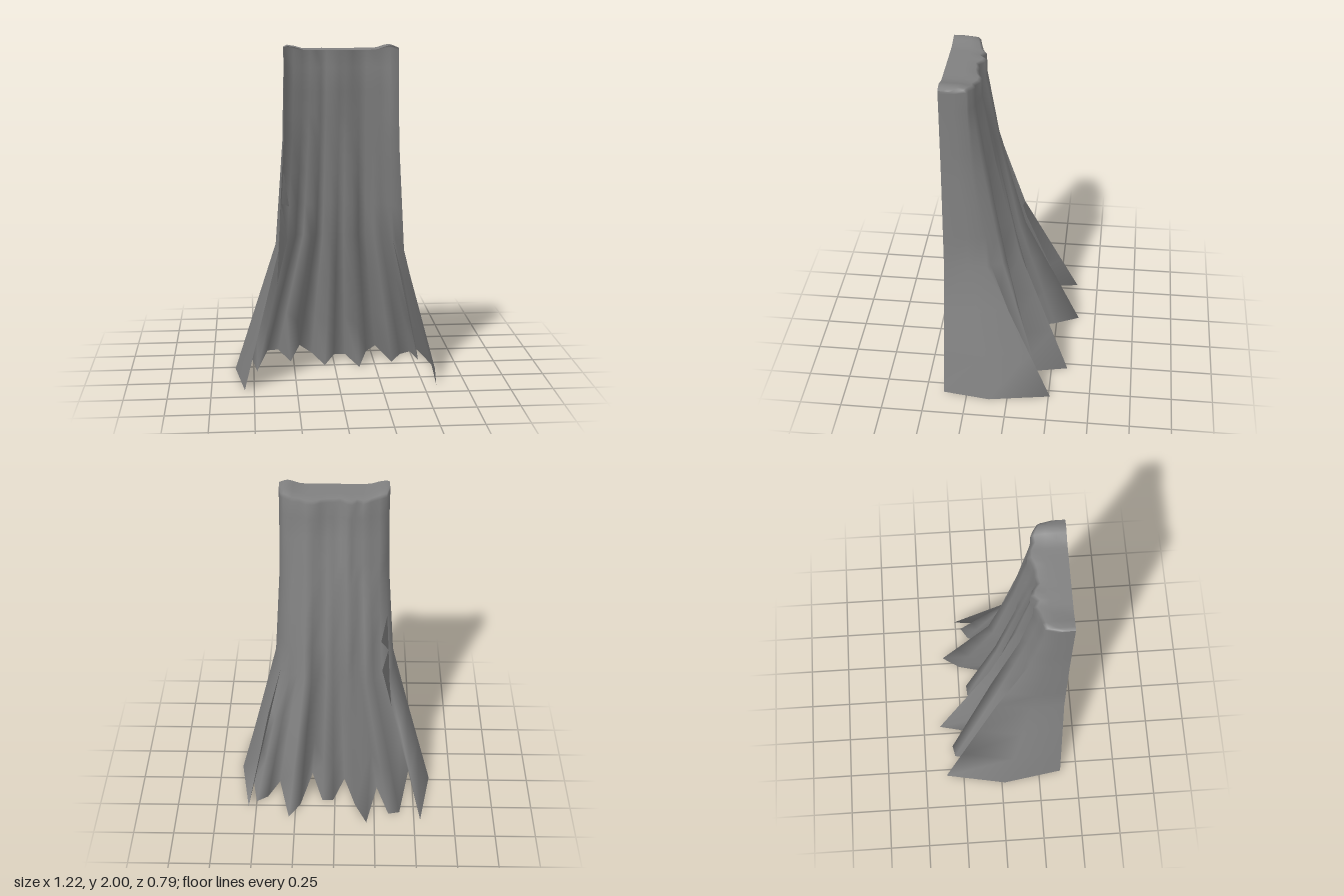
import * as THREE from 'three';

// Each column of the cloth: x at [hem, top], then z at [hem, knee, waist, top].
// Columns run from the right front edge, round the back, to the left front edge.
const FRONT = 0.393;
const columns = [
  [-0.555, -0.31, FRONT, FRONT, FRONT, FRONT],
  [-0.612, -0.31, 0.02, 0.19, 0.27, 0.30],
  [-0.54, -0.29, -0.365, -0.02, 0.17, 0.235],
  [-0.48, -0.25, 0.08, 0.10, 0.16, 0.225],
  [-0.41, -0.20, -0.30, 0.00, 0.14, 0.21],
  [-0.34, -0.155, -0.315, -0.04, 0.12, 0.185],
  [-0.27, -0.12, -0.08, 0.08, 0.14, 0.205],
  [-0.20, -0.09, -0.393, -0.045, 0.11, 0.175],
  [-0.13, -0.06, -0.24, -0.01, 0.11, 0.185],
  [-0.06, -0.025, 0.00, 0.07, 0.13, 0.215],
  [0.01, 0.015, -0.195, 0.00, 0.12, 0.205],
  [0.08, 0.05, -0.20, 0.00, 0.12, 0.205],
  [0.15, 0.09, 0.05, 0.08, 0.13, 0.195],
  [0.22, 0.13, -0.24, -0.01, 0.11, 0.175],
  [0.29, 0.17, -0.35, -0.035, 0.105, 0.18],
  [0.36, 0.21, -0.03, 0.06, 0.14, 0.205],
  [0.43, 0.25, -0.17, 0.03, 0.14, 0.20],
  [0.50, 0.28, -0.215, 0.05, 0.16, 0.215],
  [0.53, 0.30, -0.05, 0.12, 0.20, 0.23],
  [0.55, 0.315, -0.26, 0.14, 0.22, 0.24],
  [0.612, 0.33, 0.11, 0.24, 0.29, 0.31],
  [0.575, 0.33, FRONT, FRONT, FRONT, FRONT],
];

// Heights of the hem, knee, waist and top, and how far each flares sideways
const heights = [0, 0.83, 1.45, 1.86];
const flares = [1, 0.17, 0.03, 0];
const STEPS = 3;

// Shoulder height: a soft bump near each side, fading towards the back
const shoulder = (x, z) => 1.975 + 0.025
  * Math.exp(-(((Math.abs(x) - 0.28) / 0.05) ** 2))
  * THREE.MathUtils.smoothstep(z, 0.16, 0.27);

export function createModel() {
  const group = new THREE.Group();
  const cloth = new THREE.MeshStandardMaterial({ color: 0x808080, side: THREE.DoubleSide });
  cloth.name = 'grey cloth';
  const { lerp } = THREE.MathUtils;

  // Pleated drape: straight runs between the four heights
  const points = [];
  for (let r = 0; r <= 3 * STEPS; r++) {
    const k = Math.min(Math.floor(r / STEPS), 2);
    const t = r / STEPS - k;
    const flare = lerp(flares[k], flares[k + 1], t);
    for (const [hemX, topX, ...z] of columns) {
      points.push(lerp(topX, hemX, flare), lerp(heights[k], heights[k + 1], t), lerp(z[k], z[k + 1], t));
    }
  }
  // Rim and shoulder top, running forward to the open front: [forward, drop]
  for (const [t, drop] of [[0, 0.015], [0.1, 0.002], [0.4, 0], [0.7, 0], [1, 0]]) {
    for (const column of columns) {
      const x = column[1];
      const z = lerp(column[5], FRONT, t);
      points.push(x, shoulder(x, z) - drop, z);
    }
  }

  const n = columns.length;
  const index = [];
  for (let a = 0; a < points.length / 3 - n; a++) {
    if (a % n === n - 1) continue;
    index.push(a, a + n, a + 1, a + 1, a + n, a + n + 1);
  }

  const geometry = new THREE.BufferGeometry();
  geometry.setAttribute('position', new THREE.Float32BufferAttribute(points, 3));
  geometry.setIndex(index);
  geometry.computeVertexNormals();

  const cape = new THREE.Mesh(geometry, cloth);
  cape.name = 'cape';
  group.add(cape);
  return group;
}
